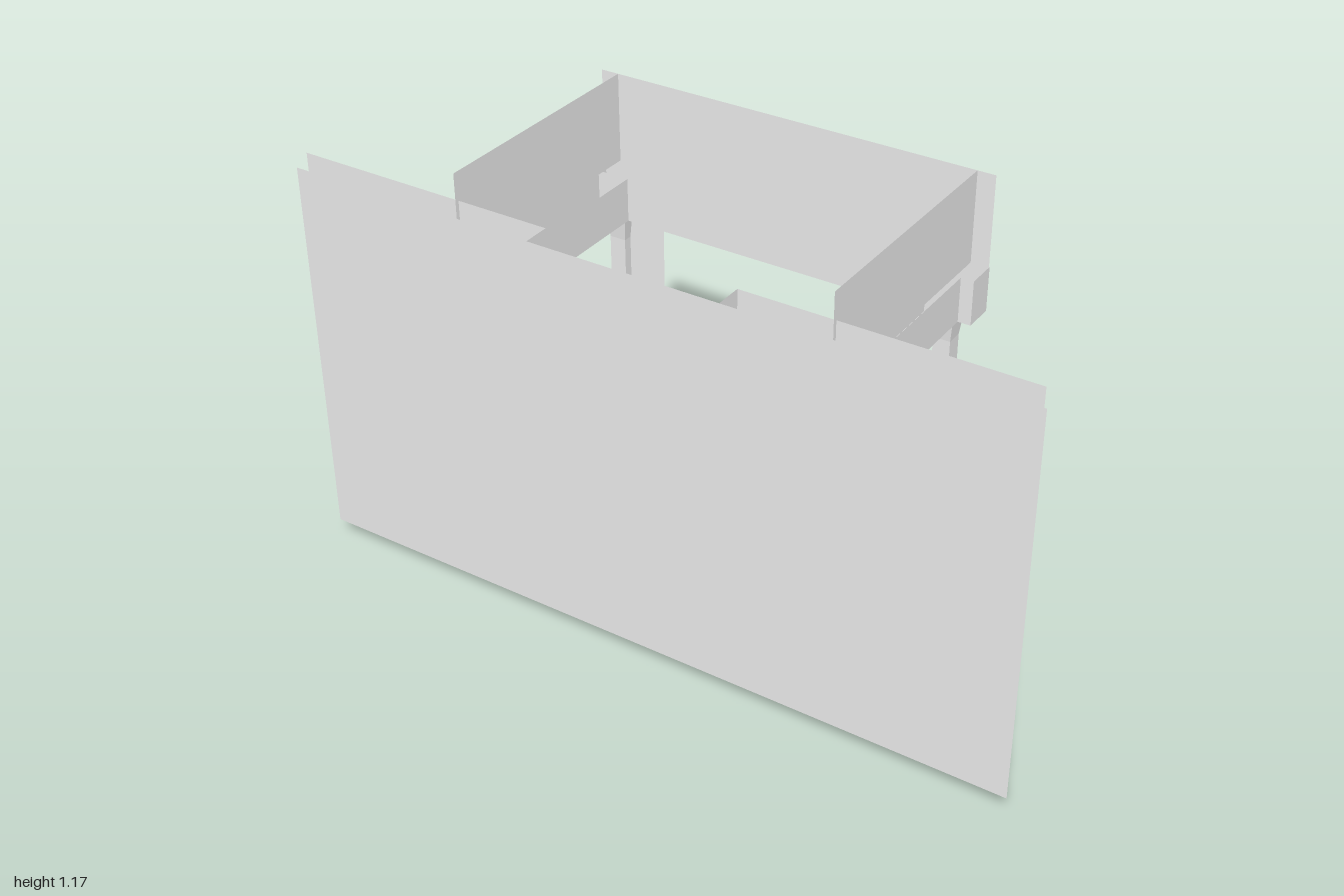
import * as THREE from 'three';

const grey = new THREE.MeshStandardMaterial({ color: 0xe7e7e7, side: THREE.DoubleSide, flatShading: true });
grey.name = 'plain grey';

const CX = -0.024; // booth centre line

export function createModel() {
  const model = new THREE.Group();

  const add = (name, geometry, parent = model) => {
    const mesh = new THREE.Mesh(geometry, grey);
    mesh.name = name;
    parent.add(mesh);
    return mesh;
  };
  // box given by its limits on each axis
  const box = (name, x0, x1, y0, y1, z0, z1) => {
    const m = add(name, new THREE.BoxGeometry(x1 - x0, y1 - y0, z1 - z0));
    m.position.set((x0 + x1) / 2, (y0 + y1) / 2, (z0 + z1) / 2);
    return m;
  };
  // box without its top face
  const trough = (...limits) => {
    const g = box(...limits).geometry;
    const index = Array.from(g.index.array);
    g.setIndex([...index.slice(0, 12), ...index.slice(18)]);
    g.clearGroups();
  };
  // upright sheet across x, and upright sheet along z
  const sheetX = (name, x0, x1, y0, y1, z) => {
    const m = add(name, new THREE.PlaneGeometry(x1 - x0, y1 - y0));
    m.position.set((x0 + x1) / 2, (y0 + y1) / 2, z);
  };
  const sheetZ = (name, x, y0, y1, z0, z1) => {
    const m = add(name, new THREE.PlaneGeometry(z1 - z0, y1 - y0));
    m.rotation.y = Math.PI / 2;
    m.position.set(x, (y0 + y1) / 2, (z0 + z1) / 2);
  };

  // Front wall: three outer panels, two inner side panels and their returns
  const low = 0.053, high = 1.098;
  sheetX('rightWallPanel', -0.965, -0.278, low, high, 0.37);
  sheetX('centreWallPanel', -0.278, 0.236, low, high, 0.37);
  sheetX('leftWallPanel', 0.236, 1, low, high, 0.37);
  sheetX('rightInnerPanel', -1, -0.278, low, high, 0.297);
  sheetX('leftInnerPanel', 0.236, 0.965, low, high, 0.297);
  for (const x of [-0.278, 0.236]) sheetZ('wallReturn', x, low, high, 0.297, 0.37);
  sheetX('centreBoard', -0.278, 0.236, 0.12, 0.95, 0.36);

  // Fascia on three sides, the side sheets set in from the ends
  sheetX('backFascia', -0.58, 0.53, 0.93, 1.173, -0.356);
  for (const x of [-0.53, 0.482]) sheetZ('sideFascia', x, 0.93, 1.173, -0.356, 0.308);

  // Hollow beams, open at the top
  trough('backBeam', -0.58, 0.53, 0.81, 0.93, -0.36, -0.277);
  for (const s of [-1, 1]) {
    const x = CX + s * 0.475;
    trough('sideBeam', x - 0.045, x + 0.045, 0.81, 0.93, -0.277, 0.313);
  }

  // Counter top, U-shaped in plan
  const plan = new THREE.Shape([
    [-0.545, -0.29], [-0.36, -0.29], [-0.36, 0.2], [0.32, 0.2],
    [0.32, -0.29], [0.495, -0.29], [0.495, 0.366], [-0.545, 0.366],
  ].map(([x, y]) => new THREE.Vector2(x, y)));
  const counter = add('counterTop', new THREE.ExtrudeGeometry(plan, { depth: 0.043, bevelEnabled: false }));
  counter.rotation.x = -Math.PI / 2;
  counter.position.y = 0.204;

  // Base panels below the counter
  sheetX('backBase', -0.53, 0.485, 0.052, 0.204, -0.345);
  for (const x of [-0.53, 0.485]) sheetZ('sideBase', x, 0.052, 0.204, -0.345, 0.295);
  box('basePlate', -0.125, 0.12, 0.052, 0.19, -0.35, -0.345);

  // Square posts with flared feet and heads, open at the top
  const flare = [[0.04, 0.225], [0.033, 0.25], [0.023, 0.305], [0.023, 0.74], [0.031, 0.81], [0.036, 0.88]]
    .map(([r, y]) => new THREE.Vector2(r * Math.SQRT2, y));
  const postGeometry = new THREE.LatheGeometry(flare, 4, Math.PI / 4);
  for (const s of [-1, 1]) for (const z of [-0.313, 0.277]) {
    add(z > 0 ? 'frontPost' : 'backPost', postGeometry).position.set(CX + s * 0.475, 0, z);
  }

  // Boards hanging under the back beam
  sheetX('hangingBoard', 0.27, 0.39, 0.5, 0.81, -0.315);
  sheetX('hangingBoard', -0.49, -0.37, 0.5, 0.81, -0.315);

  // Side shutters: flat rim with a shallow bulge of large facets
  for (const s of [-1, 1]) {
    const g = new THREE.PlaneGeometry(0.365, 0.97, 2, 2);
    const p = g.attributes.position;
    p.setXYZ(4, 0, 0.12, -0.018); // centre point of the 3 x 3 grid
    p.setZ(1, -0.004);
    p.setZ(7, -0.002);
    add('sideShutter', g).position.set(CX + s * 0.734, 0.485, 0.289);
  }

  // Stack of crossed sticks on the left counter
  const stack = new THREE.Group();
  stack.name = 'stickStack';
  stack.position.set(0.375, 0.247, -0.025);
  stack.rotation.y = 0.12;
  model.add(stack);
  for (let layer = 0; layer < 3; layer++) for (let i = -1; i <= 1; i++) {
    const across = layer % 2 === 1;
    const stick = add('stick', new THREE.BoxGeometry(across ? 0.012 : 0.045, 0.01, across ? 0.085 : 0.014), stack);
    stick.position.set(across ? i * 0.016 : 0, 0.006 + layer * 0.012, across ? 0 : i * 0.03);
  }

  // Cup and sheet on the back counter
  add('cup', new THREE.CylinderGeometry(0.014, 0.011, 0.036, 10, 1, true)).position.set(-0.24, 0.272, -0.258);
  add('cupFoot', new THREE.CylinderGeometry(0.012, 0.012, 0.006, 10)).position.set(-0.24, 0.25, -0.258);
  box('paper', -0.14, -0.06, 0.247, 0.251, -0.275, -0.24);

  return model;
}
